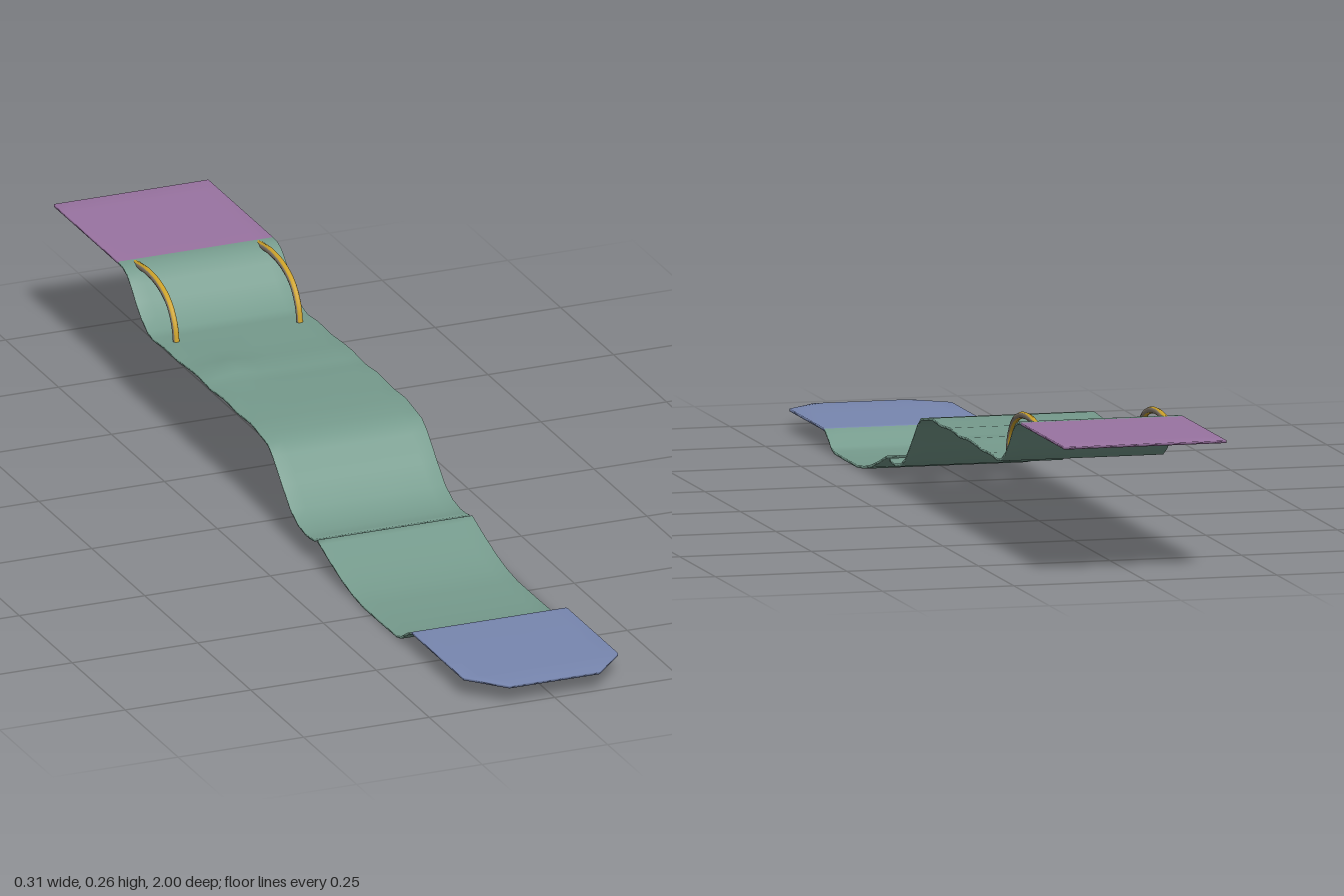
import * as THREE from 'three';

const mat = (name, color) => {
  const m = new THREE.MeshStandardMaterial({ color });
  m.name = name;
  return m;
};

const HALF = 0.154, THICK = 0.005;
const COLS = [-1, -0.8, -0.55, -0.25, 0, 0.25, 0.55, 0.8, 1];

// Small mound on the walkway
const mound = (x, z) => 0.011 * Math.exp(-(((x + 0.09) / 0.035) ** 2) - (((z + 0.32) / 0.05) ** 2));

// Thin closed ribbon swept along rows of [z, y, halfWidth?], front to back.
// Rows before "split" use the first material, the rest the second.
function ribbon(name, rows, split, materials) {
  const n = COLS.length * 2, pos = [], index = [];
  for (const [z, y, half = HALF] of rows) {
    for (const c of COLS) pos.push(c * half, y + mound(c * half, z), z);
    for (const c of [...COLS].reverse()) pos.push(c * half, y - THICK + mound(c * half, z), z);
  }
  const quad = (a, b, c, d) => index.push(a, b, c, a, c, d);
  const caps = (r, flip) => {
    for (let i = 0; i < COLS.length - 1; i++) {
      const o = r * n, q = [o + n - 1 - i, o + n - 2 - i, o + i + 1, o + i];
      quad(...(flip ? q.reverse() : q));
    }
  };
  let cut = 0;
  caps(0, false);
  for (let r = 0; r < rows.length - 1; r++) {
    if (r === split) cut = index.length;
    for (let i = 0; i < n; i++) {
      const j = (i + 1) % n;
      quad(r * n + i, r * n + j, (r + 1) * n + j, (r + 1) * n + i);
    }
  }
  caps(rows.length - 1, true);
  const g = new THREE.BufferGeometry();
  g.setAttribute('position', new THREE.Float32BufferAttribute(pos, 3));
  g.setIndex(index);
  g.addGroup(0, cut, 0);
  g.addGroup(cut, index.length - cut, 1);
  g.computeVertexNormals();
  const mesh = new THREE.Mesh(g, materials);
  mesh.name = name;
  return mesh;
}

// Curved handrail: coloured one way on its sides, another on its outer and inner faces
function handrail(name, x, faceMat, sideMat) {
  const path = new THREE.CatmullRomCurve3([
    [-0.495, 0.163], [-0.503, 0.195], [-0.527, 0.227], [-0.57, 0.247], [-0.63, 0.254], [-0.69, 0.248],
  ].map(([z, y]) => new THREE.Vector3(x, y, z)));
  const g = new THREE.TubeGeometry(path, 24, 0.0065, 8, false);
  const normal = g.attributes.normal, all = g.index.array, faces = [], sides = [];
  for (let i = 0; i < all.length; i += 3) {
    const tri = [all[i], all[i + 1], all[i + 2]];
    const nx = tri.reduce((s, v) => s + normal.getX(v), 0) / 3;
    (Math.abs(nx) > 0.6 ? sides : faces).push(...tri);
  }
  g.setIndex([...faces, ...sides]);
  g.addGroup(0, faces.length, 0);
  g.addGroup(faces.length, sides.length, 1);
  const mesh = new THREE.Mesh(g, [faceMat, sideMat]);
  mesh.name = name;
  return mesh;
}

export function createModel() {
  const model = new THREE.Group();
  model.name = 'walkway';
  const green = mat('green', 0x769b8d), blue = mat('blue', 0x7887b0), purple = mat('purple', 0x9a74a2);
  const gold = mat('gold', 0xd0a52c), grey = mat('warmGrey', 0x8c8070);

  // Blue entry plate with clipped corners, then the lower green ramp
  model.add(ribbon('lowerRamp', [
    [1, 0.037, 0.09], [0.935, 0.039], [0.85, 0.039], [0.7, 0.039], [0.69, 0.038],
    [0.67, 0.029], [0.64, 0.011], [0.62, 0.006], [0.55, 0.005], [0.46, 0.005],
    [0.41, 0.01], [0.36, 0.02], [0.3, 0.037], [0.26, 0.05], [0.245, 0.054],
  ], 4, [blue, green]));

  // Upper green walkway rising to the purple exit plate
  model.add(ribbon('upperWalkway', [
    [0.232, 0.051], [0.215, 0.048], [0.19, 0.047], [0.155, 0.052], [0.12, 0.067], [0.08, 0.101],
    [0.035, 0.142], [0.01, 0.158], [-0.02, 0.163], [-0.07, 0.17], [-0.13, 0.167], [-0.2, 0.171],
    [-0.26, 0.166], [-0.29, 0.168], [-0.32, 0.17], [-0.36, 0.169], [-0.42, 0.165], [-0.48, 0.167],
    [-0.53, 0.163], [-0.555, 0.167], [-0.585, 0.183], [-0.61, 0.204], [-0.635, 0.23],
    [-0.655, 0.246], [-0.675, 0.253], [-0.695, 0.254], [-0.8, 0.254], [-0.95, 0.254], [-1, 0.254],
  ], 25, [green, purple]));

  // Pair of handrails over the upper step
  for (const [name, s] of [['leftHandrail', 1], ['rightHandrail', -1]]) {
    model.add(handrail(name, s * 0.123, gold, grey));
  }
  return model;
}
